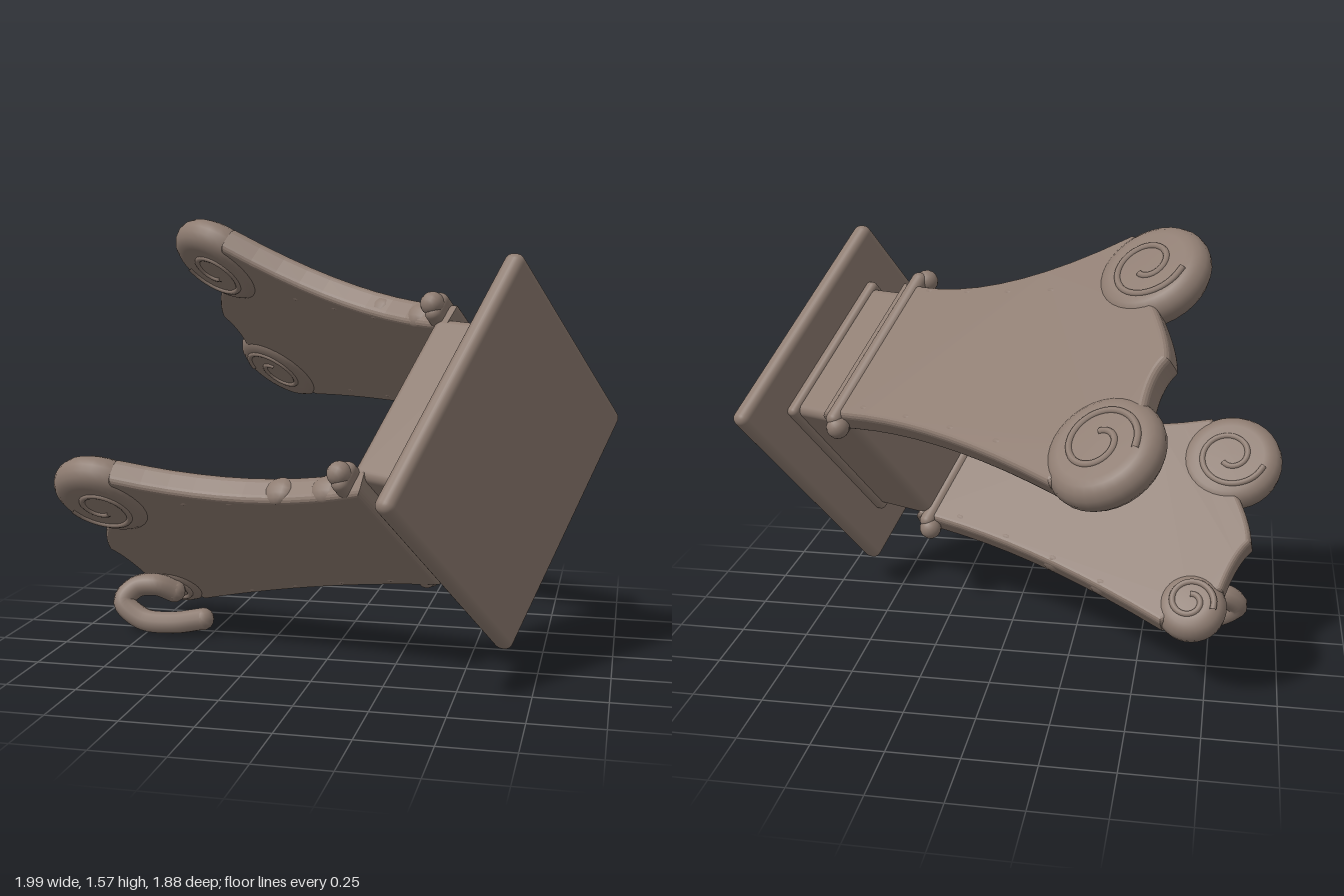
import * as THREE from 'three';
import { RoundedBoxGeometry } from 'three/addons/geometries/RoundedBoxGeometry.js';

const material = new THREE.MeshStandardMaterial({ color: 0x8d7b70 });

function add(parent, name, geometry, x = 0, y = 0, z = 0) {
  const mesh = new THREE.Mesh(geometry, material);
  mesh.name = name;
  mesh.position.set(x, y, z);
  parent.add(mesh);
  return mesh;
}

const roundedBox = (w, h, d, r) => new RoundedBoxGeometry(w, h, d, 4, r);

// Pillow-edged disc, axis along y
function discGeometry(r, thick) {
  const h = thick / 2;
  const pts = [new THREE.Vector2(0, -h)];
  for (let i = 0; i <= 8; i++) {
    const a = -Math.PI / 2 + (Math.PI * i) / 8;
    pts.push(new THREE.Vector2(r - h + h * Math.cos(a), h * Math.sin(a)));
  }
  pts.push(new THREE.Vector2(0, h));
  return new THREE.LatheGeometry(pts, 32);
}

// Low raised spiral lying in the xz plane
function spiralGeometry(r, side) {
  const pts = [];
  for (let i = 0; i <= 24; i++) {
    const t = i / 24, a = Math.PI / 2 - t * Math.PI * 2.6, q = r * (0.7 - 0.5 * t);
    pts.push(new THREE.Vector3(-side * q * Math.cos(a), 0, q * Math.sin(a)));
  }
  return new THREE.TubeGeometry(new THREE.CatmullRomCurve3(pts), 60, 0.012, 8);
}

// Slab leg: x is its width, z runs to the foot, y is its thickness
function makeLeg(name, scrolls) {
  const leg = new THREE.Group();
  leg.name = name;
  const [a, b] = scrolls;
  const s = new THREE.Shape();
  s.moveTo(-0.28, 0);
  s.lineTo(0.3, 0);
  s.quadraticCurveTo(0.25, 0.45, b.u + b.r * 0.7, b.w - b.r * 0.6);
  s.lineTo(b.u, b.w);
  s.lineTo(b.u - b.r * 0.75, b.w + 0.07);
  const mid = (a.u + b.u) / 2, end = (a.w + b.w) / 2 + 0.14;
  s.quadraticCurveTo(mid + 0.07, end - 0.03, mid, end);
  s.quadraticCurveTo(mid - 0.07, end - 0.03, a.u + a.r * 0.75, a.w + 0.07);
  s.lineTo(a.u, a.w);
  s.lineTo(a.u - a.r * 0.6, a.w - a.r * 0.7);
  s.quadraticCurveTo(-0.21, 0.45, -0.28, 0);
  const slab = new THREE.ExtrudeGeometry(s, {
    depth: 0.05, curveSegments: 10, bevelEnabled: true,
    bevelThickness: 0.025, bevelSize: 0.02, bevelSegments: 4,
  });
  slab.translate(0, 0, -0.025).rotateX(Math.PI / 2);
  add(leg, 'legSlab', slab);

  scrolls.forEach(({ u, w, r }) => {
    const side = Math.sign(u);
    add(leg, 'footScroll', discGeometry(r, 0.13), u, 0, w);
    for (const y of [-0.062, 0.062]) add(leg, 'scrollSpiral', spiralGeometry(r, side), u, y, w);
    // Worn beads along the leg edge
    for (let i = 0; i < 4; i++) {
      const t = 0.15 + i * 0.2;
      const bead = add(leg, 'edgeBead', new THREE.SphereGeometry(0.035, 12, 8),
        side * (0.265 + 0.08 * t * t), 0, t * (w - r * 0.6));
      bead.scale.set(0.9, 1.5, 1.7);
    }
  });
  return leg;
}

export function createModel() {
  const model = new THREE.Group();
  model.name = 'tiltedTable';

  // Table frame: x along the legs' width, y across them, z from top to feet
  const table = new THREE.Group();
  table.name = 'table';
  const U = new THREE.Vector3(0.338, -0.649, -0.682).normalize();
  const V = new THREE.Vector3(-0.348, -0.753, 0.558);
  const W = new THREE.Vector3().crossVectors(U, V).normalize();
  V.crossVectors(W, U);
  table.applyMatrix4(new THREE.Matrix4().makeBasis(U, V, W).setPosition(0.665, 0.77, 0.35));
  model.add(table);

  // Square top and the box below it
  add(table, 'tableTop', roundedBox(0.95, 1.0, 0.07, 0.03), 0, 0, 0.023);
  add(table, 'apron', roundedBox(0.6, 0.66, 0.32, 0.03), 0, 0, 0.185);
  add(table, 'apronNeck', roundedBox(0.64, 0.69, 0.05, 0.02), 0, 0, 0.07);

  // Mouldings where the legs join, with end knobs
  for (const y of [-0.35, 0.35]) {
    add(table, 'legMoulding', roundedBox(0.7, 0.11, 0.06, 0.028), 0, y, 0.34);
    for (const x of [-0.34, 0.34])
      add(table, 'mouldingKnob', new THREE.SphereGeometry(0.042, 14, 10), x, y, 0.35);
  }

  const upper = makeLeg('upperLeg', [{ u: -0.43, w: 1.04, r: 0.2 }, { u: 0.265, w: 1.2, r: 0.2 }]);
  upper.position.set(0, -0.34, 0.3);
  upper.rotation.x = Math.atan(0.05);
  table.add(upper);

  const lower = makeLeg('lowerLeg', [{ u: -0.345, w: 1.035, r: 0.195 }, { u: 0.265, w: 1.13, r: 0.13 }]);
  lower.position.set(0, 0.345, 0.3);
  lower.rotation.x = -Math.atan(0.28);
  table.add(lower);

  // Broken curl hanging off the lower foot
  const curl = new THREE.CatmullRomCurve3([
    [-0.53, 0.06, 0.05], [-0.64, 0.045, 0.07], [-0.77, 0.05, 0.06], [-0.85, 0.11, 0.04],
    [-0.81, 0.16, 0.01], [-0.73, 0.17, 0.0], [-0.67, 0.14, -0.03],
  ].map((p) => new THREE.Vector3(...p)));
  add(model, 'brokenCurl', new THREE.TubeGeometry(curl, 40, 0.043, 10));
  for (const t of [0, 1]) {
    const p = curl.getPoint(t);
    add(model, 'curlEnd', new THREE.SphereGeometry(0.043, 12, 8), p.x, p.y, p.z);
  }
  return model;
}
